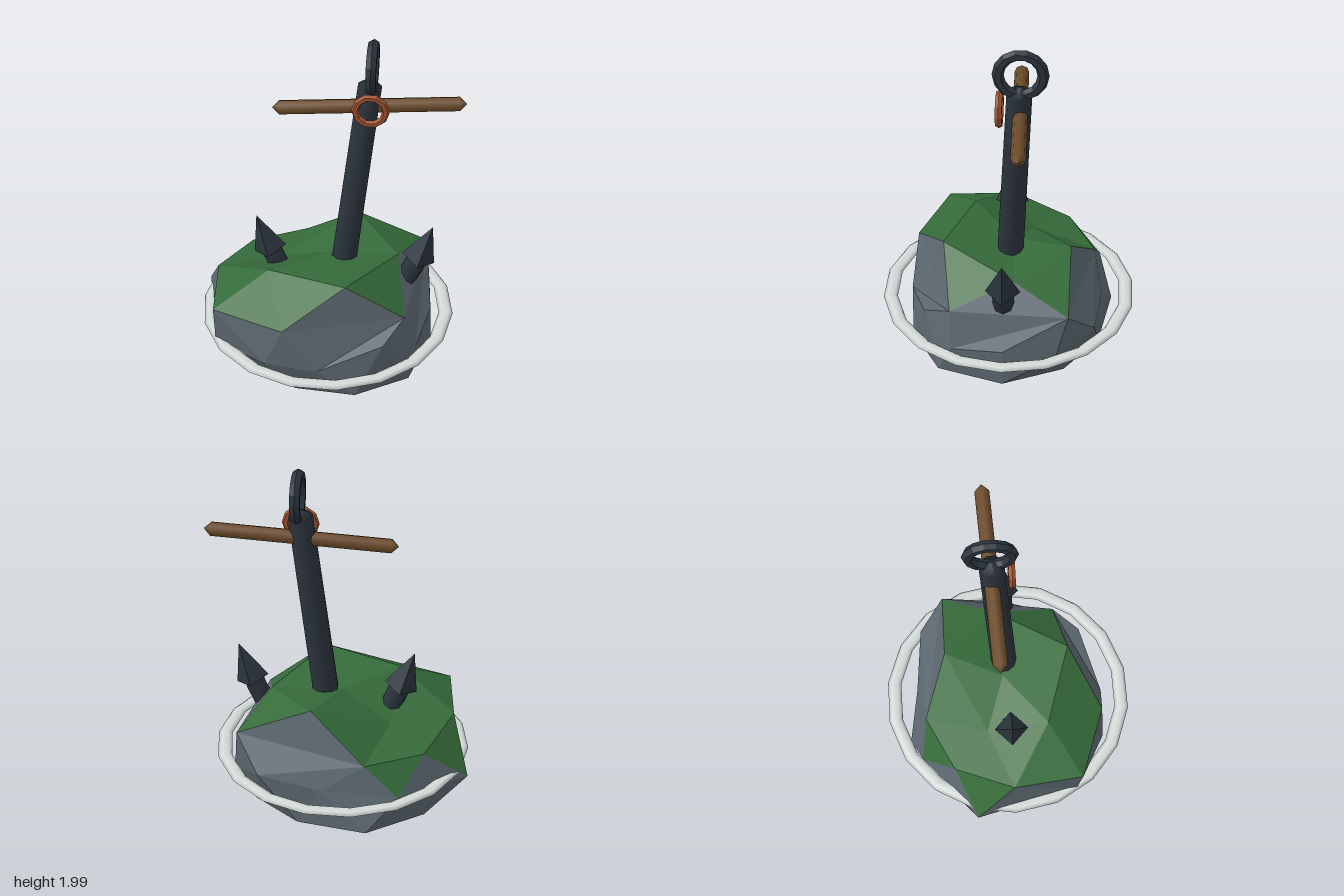
import * as THREE from 'three';

const mat = (name, color) => {
  const m = new THREE.MeshStandardMaterial({ color });
  m.name = name;
  return m;
};
const V = (x, y, z) => new THREE.Vector3(x, y, z);

function add(parent, name, geometry, material) {
  const mesh = new THREE.Mesh(geometry, material);
  mesh.name = name;
  parent.add(mesh);
  return mesh;
}

// Give every face its own flat normal
function faceted(geometry) {
  const g = geometry.toNonIndexed();
  g.computeVertexNormals();
  return g;
}

// Lay a y-axis mesh along the line from a to b
function alignBetween(mesh, a, b) {
  mesh.position.copy(a).add(b).multiplyScalar(0.5);
  mesh.quaternion.setFromUnitVectors(V(0, 1, 0), b.clone().sub(a).normalize());
}

// Round bar from a to b with blunt pointed ends
function addBar(parent, name, a, b, ra, rb, tip, sides, material) {
  const h = a.distanceTo(b) / 2;
  const profile = [[0, -h], [ra, -h + tip], [rb, h - tip], [0, h]];
  const points = profile.map((p) => new THREE.Vector2(...p));
  alignBetween(add(parent, name, new THREE.LatheGeometry(points, sides), material), a, b);
}

// Join two rings of points (ordered by angle) with a band of triangles
function zip(upper, lower, out) {
  const angle = (ring, i) => {
    if (ring.length === 1) return Infinity;
    const [x, , z] = ring[i % ring.length];
    const turn = Math.PI * 2;
    return ((Math.atan2(z, x) + 0.8 + turn) % turn) + (i >= ring.length ? turn : 0);
  };
  const at = (ring, i) => V(...ring[i % ring.length]);
  const nu = upper.length === 1 ? 0 : upper.length;
  const nl = lower.length === 1 ? 0 : lower.length;
  let i = 0, j = 0;
  while (i < nu || j < nl) {
    const u = at(upper, i), l = at(lower, j);
    if (j >= nl || (i < nu && angle(upper, i + 1) < angle(lower, j + 1))) {
      out.push([u, at(upper, ++i), l]);
    } else {
      out.push([u, at(lower, ++j), l]);
    }
  }
}

function facesToGeometry(faces) {
  const g = new THREE.BufferGeometry().setFromPoints(faces.flat());
  g.computeVertexNormals();
  return g;
}

// Faceted boulder with moss on its flatter upper faces
function buildRock(stone, moss) {
  const rings = [
    [[0, 0.6, -0.03]],
    [[0.41, 0.6, -0.05], [0.14, 0.66, 0.37], [-0.32, 0.63, 0.22],
      [-0.3, 0.46, -0.14], [0.14, 0.66, -0.37]],
    [[0.57, 0.48, -0.37], [0.48, 0.42, 0.31], [-0.2, 0.46, 0.56], [-0.62, 0.46, 0.41],
      [-0.66, 0.46, 0], [-0.506, 0.4, -0.35], [-0.18, 0.4, -0.51]],
    [[0.6, 0.2, -0.3], [0.62, 0.25, 0], [0.55, 0.2, 0.3], [0.37, 0.33, 0.47],
      [0, 0.2, 0.585], [-0.3, 0.22, 0.57], [-0.62, 0.2, 0.38], [-0.76, 0.18, -0.23],
      [-0.38, 0.22, -0.545], [0.06, 0.25, -0.56], [0.43, 0.3, -0.52]],
    [[0.47, 0.01, -0.35], [0.63, 0.02, 0], [0.52, 0.02, 0.38], [0.22, 0.02, 0.56],
      [-0.13, 0.01, 0.53], [-0.43, 0.01, 0.35], [-0.56, 0.01, -0.02], [-0.52, 0.01, -0.4],
      [-0.2, 0.02, -0.625], [0.2, 0.01, -0.55]],
    [[0, 0.01, 0]],
  ];
  const faces = [];
  for (let k = 0; k < rings.length - 1; k++) zip(rings[k], rings[k + 1], faces);

  const isMossy = ([a, b, c]) => {
    const t = new THREE.Triangle(a, b, c);
    const mid = t.getMidpoint(V(0, 0, 0));
    const flat = mid.y > 0.4 && t.getNormal(V(0, 0, 0)).y > 0.68;
    const trailing = mid.x < -0.3 && mid.z < -0.15 && mid.y > 0.3;
    return flat || trailing;
  };
  const group = new THREE.Group();
  group.name = 'rock';
  add(group, 'rockStone', facesToGeometry(faces.filter((f) => !isMossy(f))), stone);
  add(group, 'rockMoss', facesToGeometry(faces.filter(isMossy)), moss);
  return group;
}

function buildAnchor(iron, wood, copper) {
  const group = new THREE.Group();
  group.name = 'anchor';

  // Leaning shank
  addBar(group, 'shank', V(0.06, 0.25, 0), V(0.228, 1.775, -0.073), 0.078, 0.069, 0.045, 10, iron);

  // Shackle ring on top
  const shackle = add(group, 'shackleRing',
    faceted(new THREE.TorusGeometry(0.121, 0.032, 6, 14)), iron);
  shackle.rotation.y = Math.PI / 2;
  shackle.position.set(0.235, 1.848, -0.077);

  // Wooden stock
  addBar(group, 'stock', V(-0.318, 1.565, -0.055), V(0.757, 1.64, -0.095),
    0.041, 0.041, 0.04, 8, wood);

  // Copper hoop hanging in front of the stock
  const hoop = add(group, 'copperHoop',
    faceted(new THREE.TorusGeometry(0.085, 0.021, 6, 10)), copper);
  hoop.position.set(0.237, 1.637, 0.036);

  // Curved arms running through the rock
  const centre = 0.095;
  const arc = [[-0.44, 0.64], [-0.36, 0.46], [-0.2, 0.3], [0, 0.24],
    [0.2, 0.3], [0.36, 0.46], [0.44, 0.64]];
  const curve = new THREE.CatmullRomCurve3(arc.map(([x, y]) => V(centre + x, y, 0)));
  add(group, 'arms', new THREE.TubeGeometry(curve, 16, 0.062, 8), iron);

  // Four-sided flukes
  for (const s of [-1, 1]) {
    const base = V(centre + s * 0.437, 0.625, 0), tip = V(centre + s * 0.514, 0.853, 0);
    const fluke = add(group, s < 0 ? 'rightFluke' : 'leftFluke',
      faceted(new THREE.ConeGeometry(0.099, base.distanceTo(tip), 4)), iron);
    alignBetween(fluke, base, tip);
  }
  return group;
}

export function createModel() {
  const model = new THREE.Group();
  model.name = 'anchorInRock';
  model.add(buildRock(mat('stone', 0x5c6870), mat('moss', 0x356b3a)));
  model.add(buildAnchor(mat('iron', 0x2b343d), mat('wood', 0x6b4a2a), mat('copper', 0xa0522d)));

  // Flattened foam ring around the rock
  const foam = add(model, 'foamRing',
    new THREE.TorusGeometry(0.712, 0.042, 6, 18), mat('foam', 0xd3dad7));
  foam.rotation.x = Math.PI / 2;
  foam.scale.z = 0.45;
  foam.position.y = 0.22;
  return model;
}
